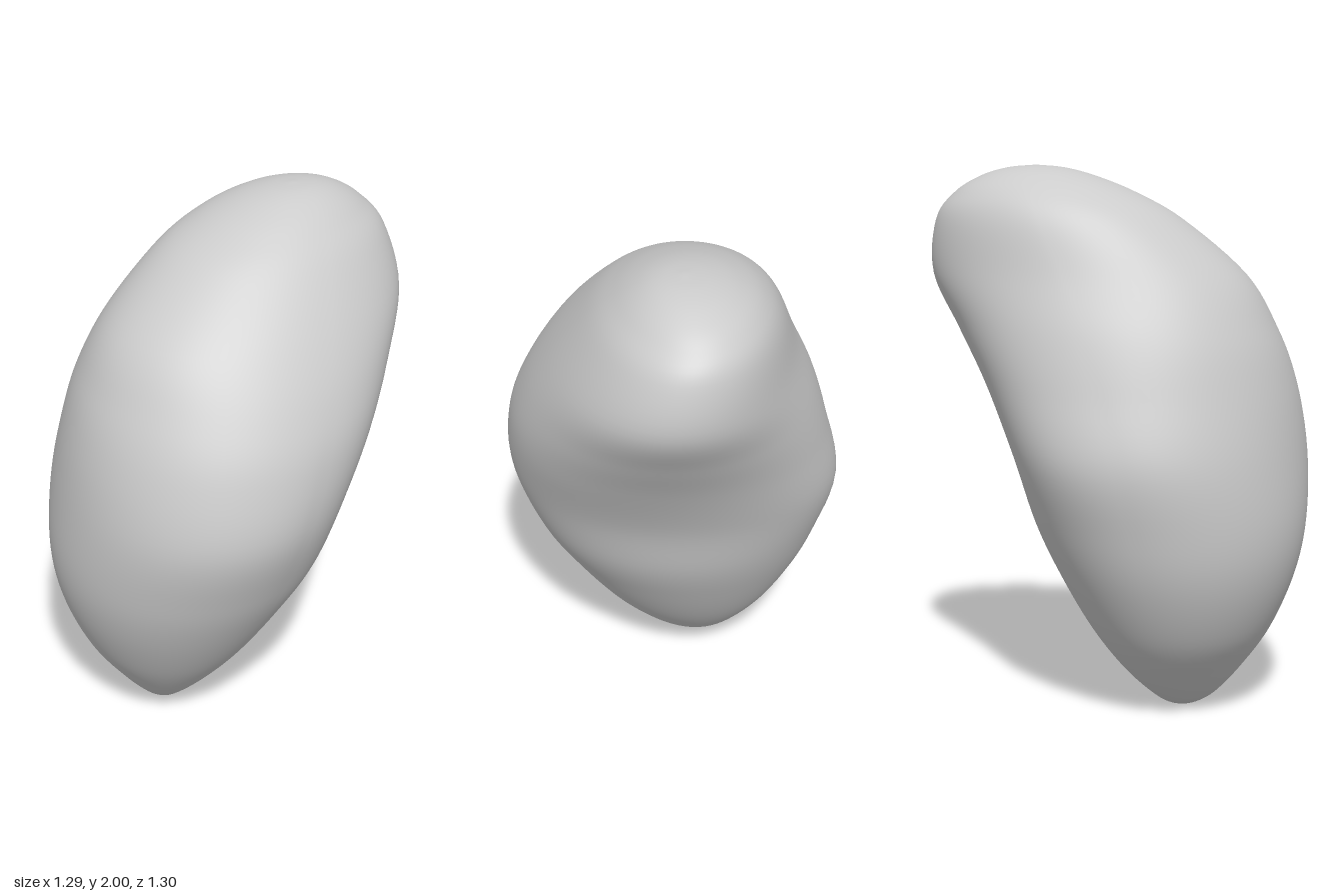
import * as THREE from 'three';
import { mergeVertices } from 'three/addons/utils/BufferGeometryUtils.js';

// Oval slices from bottom to top: height, centre along the lean, centre across it,
// half width along the lean, half width across it, sideways skew of the oval
const SLICES = [
  [0, -0.2, -0.085, 0, 0, 0],
  [0.012, -0.2, -0.085, 0.055, 0.065, -0.02],
  [0.05, -0.2, -0.085, 0.115, 0.125, -0.036],
  [0.15, -0.19, -0.083, 0.215, 0.23, -0.035],
  [0.3, -0.182, -0.08, 0.328, 0.355, -0.023],
  [0.5, -0.163, -0.064, 0.432, 0.47, -0.02],
  [0.7, -0.13, -0.04, 0.502, 0.55, -0.026],
  [0.95, -0.085, -0.017, 0.54, 0.61, -0.055],
  [1.2, -0.006, 0.005, 0.58, 0.582, -0.026],
  [1.4, 0.078, 0.004, 0.605, 0.525, 0],
  [1.6, 0.18, -0.006, 0.602, 0.435, 0.012],
  [1.8, 0.286, -0.038, 0.475, 0.335, 0.008],
  [1.9, 0.338, -0.05, 0.345, 0.253, 0],
  [1.96, 0.368, -0.045, 0.218, 0.168, 0],
  [1.99, 0.38, -0.035, 0.108, 0.086, 0],
  [2, 0.383, -0.03, 0, 0, 0],
];

const { lerp, smoothstep } = THREE.MathUtils;
const smoothCurve = (points) => new THREE.CatmullRomCurve3(points, false, 'catmullrom', 0.5);

// Outline along the lean: the overhung side is flat with soft shoulders at mid height
// and narrows to a nose above; the other side flattens a little toward the top
function leanProfile(cosine, y) {
  const nose = smoothstep(y, 1.1, 1.7);
  if (cosine <= 0) return -lerp(1, 0.965, nose) * (-cosine) ** lerp(1, 0.92, nose);
  const shoulder = smoothstep(y, 0.3, 1) * (1 - nose);
  return (1 - 0.03 * shoulder) * cosine ** (1 - 0.16 * shoulder + 0.06 * nose);
}

function createPebbleGeometry() {
  const spine = smoothCurve(SLICES.map(([y, u, w]) => new THREE.Vector3(u, y, w)));
  const widths = smoothCurve(SLICES.map(([, , , a, b, skew]) => new THREE.Vector3(a, b, skew)));
  const geometry = new THREE.SphereGeometry(1, 96, 90);
  const { position, uv } = geometry.attributes;
  const c = new THREE.Vector3();
  const r = new THREE.Vector3();

  // Move each ring of the sphere onto its oval slice
  for (let i = 0; i < position.count; i++) {
    const t = THREE.MathUtils.clamp(uv.getY(i), 0, 1);
    const angle = uv.getX(i) * Math.PI * 2;
    spine.getPoint(t, c);
    widths.getPoint(t, r);
    const along = leanProfile(-Math.cos(angle), c.y);
    position.setXYZ(i, c.x + along * r.x, c.y, c.z + Math.sin(angle) * r.y + along * r.z);
  }

  // Weld the seam for smooth normals, then turn the lean toward the back corner
  geometry.deleteAttribute('uv');
  geometry.deleteAttribute('normal');
  const welded = mergeVertices(geometry, 1e-5);
  welded.rotateY(Math.PI / 4);
  welded.computeVertexNormals();
  return welded;
}

export function createModel() {
  const group = new THREE.Group();
  group.name = 'pebble';
  const stone = new THREE.Mesh(
    createPebbleGeometry(),
    new THREE.MeshStandardMaterial({ color: 0xcccccc })
  );
  stone.name = 'stone';
  group.add(stone);
  return group;
}
